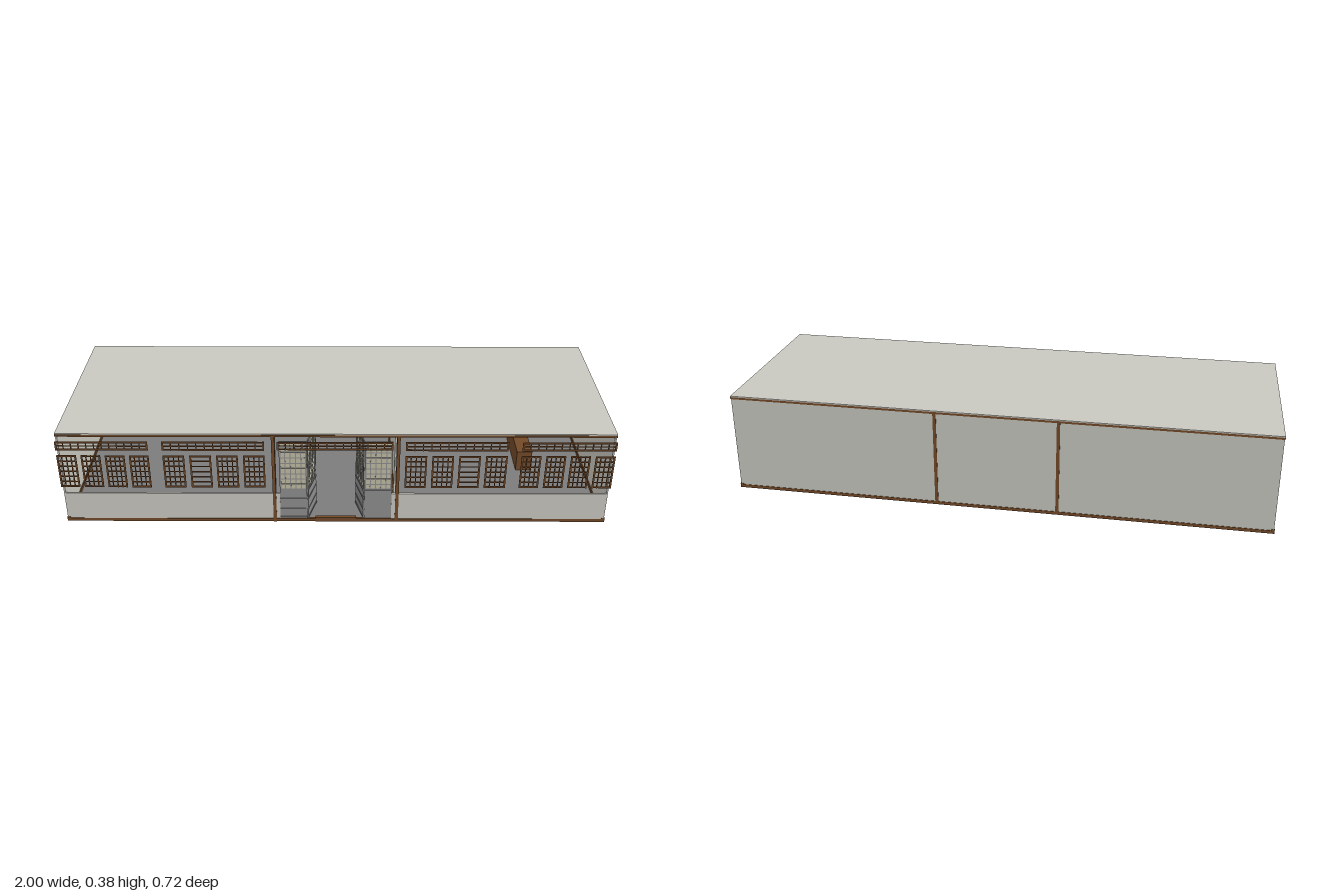
import * as THREE from 'three';

const mat = (name, color) => {
  const m = new THREE.MeshStandardMaterial({ color });
  m.name = name;
  return m;
};

export function createModel() {
  const wall = mat('plaster', 0xc9c8c0);
  const wood = mat('brown wood', 0x734a28);
  const floorGrey = mat('floor grey', 0x7c7c7c);
  const doorGrey = mat('door grey', 0x8e8e8e);
  const pane = mat('door pane', 0xc2bda6);

  const model = new THREE.Group();
  model.name = 'longHouse';

  // box given by its limits on each axis
  const box = (name, m, x0, x1, y0, y1, z0, z1, parent = model) => {
    const mesh = new THREE.Mesh(new THREE.BoxGeometry(x1 - x0, y1 - y0, z1 - z0), m);
    mesh.position.set((x0 + x1) / 2, (y0 + y1) / 2, (z0 + z1) / 2);
    mesh.name = name;
    parent.add(mesh);
    return mesh;
  };

  const F = 0.345, B = -0.36, P = 0.225;

  // shell: open above the low front walls
  box('floor', floorGrey, -0.998, 0.998, 0.001, 0.005, B + 0.002, F - 0.002);
  box('roof', wall, -1, 1, 0.372, 0.378, B, F);
  box('backWall', wall, -0.998, 0.998, 0.003, 0.373, B + 0.002, B + 0.008);
  for (const s of [-1, 1]) {
    const span = (a, b) => [Math.min(s * a, s * b), Math.max(s * a, s * b)];
    box('sideWall', wall, ...span(0.992, 0.998), 0.003, 0.373, B + 0.002, F - 0.001);
    box('lowFrontWall', wall, ...span(0.205, 0.997), 0.003, 0.123, F - 0.008, F - 0.001);
    // trims along the ends
    box('endSill', wood, ...span(0.988, 1), 0, 0.017, B, F);
    box('endTopTrim', wood, ...span(0.99, 1), 0.366, 0.3735, B, F);
    // posts at the partitions
    box('frontPost', wood, ...span(P - 0.006, P + 0.006), 0, 0.374, F - 0.01, F + 0.002);
    box('backPost', wood, ...span(P - 0.006, P + 0.006), 0, 0.374, B, B + 0.012);
  }
  for (const [n, z0, z1] of [['front', F - 0.01, F + 0.001], ['back', B, B + 0.01]]) {
    box(n + 'Sill', wood, -1, 1, 0, 0.012, z0, z1);
    box(n + 'TopTrim', wood, -1, 1, 0.366, 0.3738, z0, z1);
  }
  box('threshold', wood, -0.075, 0.075, 0, 0.017, F - 0.012, F + 0.002);

  // partitions, each with a gap to walk through
  for (const [x, gap0, gap1] of [[P, 0.18, 0.3], [-P, -0.28, 0.27]]) {
    for (const [z0, z1] of [[B + 0.008, gap0], [gap1, F - 0.01]]) {
      box('partitionWall', wall, x - 0.003, x + 0.003, 0.003, 0.373, z0, z1);
      box('partitionBaseboard', wood, x - 0.005, x + 0.005, 0, x > 0 ? 0.06 : 0.018, z0, z1);
    }
    box('partitionLintel', wall, x - 0.003, x + 0.003, 0.315, 0.373, gap0, gap1);
  }

  // lattice of thin bars in the plane z, framed on all sides
  const lattice = (name, m, x0, x1, y0, y1, cols, rows, z, t, parent = model) => {
    const g = new THREE.Group();
    g.name = name;
    parent.add(g);
    for (let i = 0; i <= cols; i++) {
      const w = i % cols ? t * 0.6 : t;
      const x = x0 + w / 2 + (x1 - x0 - w) * i / cols;
      box('uprightBar', m, x - w / 2, x + w / 2, y0, y1, z - 0.002, z + 0.002, g);
    }
    for (let j = 0; j <= rows; j++) {
      const w = j % rows ? t * 0.6 : t;
      const y = y0 + w / 2 + (y1 - y0 - w) * j / rows;
      box('crossBar', m, x0, x1, y - w / 2, y + w / 2, z - 0.0018, z + 0.0018, g);
    }
  };

  // four windows and one transom in each bay
  const bays = [[-1, -0.67, 0.07], [-0.62, -0.255, 0.077], [0.25, 0.615, 0.077], [0.665, 1, 0.07]];
  bays.forEach(([x0, x1, w], b) => {
    lattice('transom', wood, x0, x1, 0.317, 0.353, 12, 2, 0.358, 0.006);
    for (let i = 0; i < 4; i++) {
      const x = x0 + (x1 - x0 - w) * i / 3;
      const sparse = (b === 1 || b === 2) && i === (b === 1 ? 1 : 2);
      lattice('window', wood, x, x + w, 0.16, 0.295, sparse ? 1 : 4, 6, 0.358, 0.006);
    }
  });
  lattice('doorTransom', wood, -0.21, 0.205, 0.32, 0.353, 14, 2, 0.358, 0.006);

  // one door leaf, hinged at its local origin and running along +x
  const leaf = (name, w) => {
    const g = new THREE.Group();
    g.name = name;
    box('lowerPanel', doorGrey, 0, w, 0.012, 0.14, -0.002, 0.002, g);
    box('panes', pane, 0.002, w - 0.002, 0.14, 0.34, -0.0006, 0.0006, g);
    lattice('doorLattice', doorGrey, 0, w, 0.138, 0.345, 5, 9, 0, 0.006, g);
    for (const y of [0.014, 0.05, 0.095, 0.132])
      box('rail', doorGrey, 0, w, y, y + 0.006, -0.0035, 0.0035, g);
    return g;
  };

  // folding doors: the outer leaf lies flat, the inner one swings inward
  for (const s of [-1, 1]) {
    const outer = leaf('outerDoor', 0.1);
    outer.position.set(s < 0 ? -0.205 : 0.105, 0, F - 0.005);
    const inner = leaf('innerDoor', 0.105);
    inner.position.set(s * 0.103, 0, F - 0.007);
    inner.rotation.y = s < 0 ? 1.31 : Math.PI - 1.31;
    model.add(outer, inner);
  }

  // low bench and a small round stand inside
  box('bench', wood, 0.72, 0.78, 0, 0.09, -0.24, 0);
  for (const [n, r, y0, y1] of [['standBase', 0.02, 0, 0.01], ['standPole', 0.004, 0.01, 0.19], ['standTop', 0.018, 0.16, 0.17]]) {
    const c = new THREE.Mesh(new THREE.CylinderGeometry(r, r, y1 - y0, 16), wood);
    c.position.set(0.3, (y0 + y1) / 2, -0.3);
    c.name = n;
    model.add(c);
  }
  return model;
}
